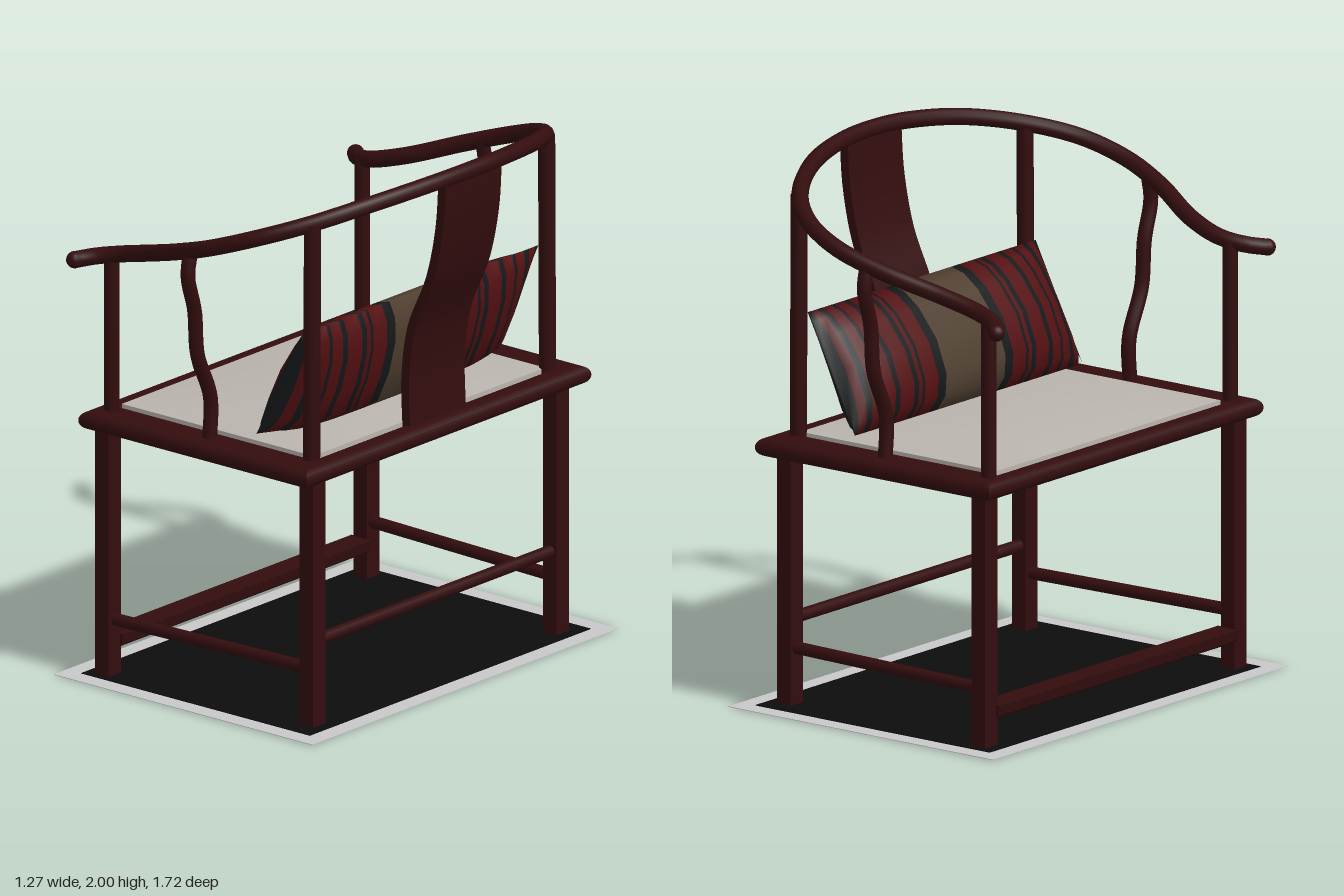
import * as THREE from 'three';

const paint = (name, color) => {
  const m = new THREE.MeshStandardMaterial({ color });
  m.name = name;
  return m;
};

export function createModel() {
  const wood = paint('dark red wood', 0x330d0e);
  const linen = paint('pale seat', 0xbab4ae);
  const red = paint('pillow red', 0x541012);
  const dark = paint('pillow stripe', 0x15181a);
  const tan = paint('pillow centre', 0x4f3f30);
  const edge = paint('mat edge', 0xc8c8c8);
  const black = paint('mat black', 0x0c0c0c);

  const model = new THREE.Group();
  const add = (name, geometry, material, x = 0, y = 0, z = 0) => {
    const mesh = new THREE.Mesh(geometry, material);
    mesh.name = name;
    mesh.position.set(x, y, z);
    model.add(mesh);
    return mesh;
  };
  const box = (name, mat, w, h, d, x, y, z) =>
    add(name, new THREE.BoxGeometry(w, h, d), mat, x, y, z);
  const v = (p) => new THREE.Vector3(...p);
  // Round bar between two points
  const bar = (name, a, b, r) => {
    const A = v(a), B = v(b), dir = B.clone().sub(A);
    const mesh = add(name, new THREE.CylinderGeometry(r, r, dir.length(), 16), wood);
    mesh.position.copy(A).add(B).multiplyScalar(0.5);
    mesh.quaternion.setFromUnitVectors(new THREE.Vector3(0, 1, 0), dir.normalize());
  };
  const tube = (name, points, r, segments) =>
    add(name, new THREE.TubeGeometry(new THREE.CatmullRomCurve3(points.map(v)), segments, r, 12), wood);

  // Floor mat
  box('matEdge', edge, 1.215, 0.002, 1.7, -0.032, 0.003, 0);
  box('matCentre', black, 1.075, 0.006, 1.56, -0.032, 0.003, 0);

  // Seat frame with rounded edges
  const r = 0.035;
  const rect = (Type, x0, x1, z) => {
    const s = new Type();
    s.moveTo(x0, -z).lineTo(x1, -z).lineTo(x1, z).lineTo(x0, z).closePath();
    return s;
  };
  const frame = rect(THREE.Shape, -0.575 + r, 0.5 - r, 0.79 - r);
  frame.holes.push(rect(THREE.Path, -0.485 - r, 0.4 + r, 0.635 + r));
  const frameGeo = new THREE.ExtrudeGeometry(frame, {
    depth: 0.002, bevelThickness: r - 0.001, bevelSize: r, bevelSegments: 6,
  });
  frameGeo.rotateX(-Math.PI / 2);
  add('seatFrame', frameGeo, wood, 0, 0.964, 0);

  // Softly domed seat panel
  const seat = new THREE.BoxGeometry(0.9, 0.05, 1.29, 12, 1, 12);
  const sp = seat.attributes.position;
  for (let i = 0; i < sp.count; i++) {
    if (sp.getY(i) < 0) continue;
    const a = sp.getX(i) / 0.45, b = sp.getZ(i) / 0.645;
    sp.setY(i, 0.025 + 0.025 * (1 - a * a) * (1 - b ** 4));
  }
  seat.computeVertexNormals();
  add('seatPanel', seat, linen, -0.043, 0.983, 0);

  for (const s of [1, -1]) {
    // Legs and the posts above them
    box('frontLeg', wood, 0.063, 0.95, 0.07, -0.496, 0.475, s * 0.718);
    box('backLeg', wood, 0.063, 0.95, 0.07, 0.43, 0.475, s * 0.676);
    bar('frontPost', [-0.497, 0.98, s * 0.695], [-0.497, 1.59, s * 0.695], 0.028);
    bar('backPost', [0.408, 0.98, s * 0.655], [0.408, 1.89, s * 0.65], 0.031);
    bar('sideStretcher', [-0.49, 0.215, s * 0.715], [0.43, 0.215, s * 0.676], 0.023);
    // Curved arm support
    tube('armSupport', [
      [-0.03, 0.98, s * 0.705], [-0.03, 1.15, s * 0.7], [-0.03, 1.33, s * 0.772],
      [-0.03, 1.5, s * 0.788], [-0.03, 1.64, s * 0.825], [-0.03, 1.73, s * 0.81],
    ], 0.027, 28);
    const knob = add('armEnd', new THREE.SphereGeometry(0.033, 16, 12), wood, -0.6, 1.566, s * 0.78);
    knob.scale.set(0.95, 0.95, 0.95);
  }
  bar('backStretcher', [0.43, 0.318, -0.66], [0.43, 0.318, 0.66], 0.023);

  // Front footrest with a rounded underside
  const foot = new THREE.Shape();
  foot.moveTo(-0.048, 0.155).lineTo(-0.04, 0.115).quadraticCurveTo(-0.03, 0.1, 0, 0.1)
    .quadraticCurveTo(0.03, 0.1, 0.04, 0.115).lineTo(0.048, 0.155).closePath();
  add('footrest', new THREE.ExtrudeGeometry(foot, { depth: 1.38, bevelEnabled: false }),
    wood, -0.495, 0, -0.69);

  // Sweeping arm and back rail, mirrored across z
  const half = [
    [-0.6, 1.566, 0.78], [-0.545, 1.578, 0.725], [-0.45, 1.598, 0.692], [-0.3, 1.64, 0.715],
    [-0.1, 1.71, 0.795], [0.08, 1.772, 0.828], [0.25, 1.833, 0.785], [0.4, 1.887, 0.655],
    [0.52, 1.937, 0.44], [0.585, 1.963, 0.2],
  ];
  const mirrored = half.map(([x, y, z]) => [x, y, -z]).reverse();
  tube('armRail', [...half, [0.6, 1.969, 0], ...mirrored], 0.031, 120);

  // S-curved back splat
  const bend = new THREE.CatmullRomCurve3(
    [0.43, 0.425, 0.455, 0.54, 0.585, 0.6].map((x, i) => new THREE.Vector3(x, i, 0)));
  bend.curveType = 'catmullrom';
  const splat = new THREE.BoxGeometry(0.036, 1, 0.31, 1, 28, 1);
  const bp = splat.attributes.position;
  for (let i = 0; i < bp.count; i++) {
    const t = bp.getY(i) + 0.5;
    bp.setXYZ(i, bp.getX(i) + bend.getPoint(t).x, 0.985 + t * 0.995, bp.getZ(i));
  }
  splat.computeVertexNormals();
  add('backSplat', splat, wood);

  add('pillow', pillowGeometry(), [red, dark, tan]);
  return model;
}

// Tilted pillow lofted along z; each stripe is a material group
function pillowGeometry() {
  const section = [
    [-0.235, 0.01], [-0.2, 0.085], [-0.13, 0.127], [0, 0.12], [0.12, 0.092], [0.2, 0.05],
    [0.24, 0], [0.2, -0.045], [0.13, -0.08], [0, -0.107], [-0.13, -0.092], [-0.2, -0.05],
  ];
  // Dark stripes on each half, as distance from the centre
  const stripes = [[0.17, 0.215], [0.29, 0.305], [0.325, 0.35], [0.425, 0.45],
    [0.5, 0.515], [0.56, 0.585], [0.615, 0.63]];
  const L = 0.63;
  const bands = [];
  let last = 0.17;
  for (const [a, b] of stripes) {
    if (a > last) bands.push([last, a, 0]);
    bands.push([a, b, 1]);
    last = b;
  }
  const rows = [
    ...bands.map(([a, b, m]) => [-b, -a, m]).reverse(), [-0.17, 0, 2], [0, 0.17, 2], ...bands,
  ];
  const loops = [rows[0][0], ...rows.map((row) => row[1])];
  const n = section.length, pos = [], index = [];
  const geo = new THREE.BufferGeometry();
  for (const z of loops) {
    const f = Math.abs(z) / L;
    const thick = Math.max(0.06, Math.sqrt(1 - f ** 5));
    for (const [u, w] of section) {
      const k = Math.abs(u) / 0.235;
      const t = w * thick;
      pos.push(0.255 + 0.455 * u + 0.89 * t, 1.247 + 0.89 * u - 0.455 * t,
        z * (1 + 0.04 * k * k * f ** 4));
    }
  }
  rows.forEach(([, , m], i) => {
    geo.addGroup(index.length, n * 6, m);
    for (let j = 0; j < n; j++) {
      const a = i * n + j, b = i * n + (j + 1) % n;
      index.push(a, a + n, b, b, a + n, b + n);
    }
  });
  // End seams
  const end = (loops.length - 1) * n;
  geo.addGroup(index.length, (n - 2) * 6, 1);
  for (let j = 1; j < n - 1; j++) {
    index.push(0, j, j + 1, end, end + j + 1, end + j);
  }
  // Orient the faces outward
  const P = (i) => new THREE.Vector3().fromArray(pos, i * 3);
  const c = new THREE.Vector3(0.255, 1.247, 0);
  for (let i = 0; i < index.length; i += 3) {
    const [A, B, C] = [P(index[i]), P(index[i + 1]), P(index[i + 2])];
    const normal = B.clone().sub(A).cross(C.clone().sub(A));
    if (normal.dot(A.add(B).add(C).divideScalar(3).sub(c)) < 0) {
      [index[i + 1], index[i + 2]] = [index[i + 2], index[i + 1]];
    }
  }
  geo.setAttribute('position', new THREE.Float32BufferAttribute(pos, 3));
  geo.setIndex(index);
  geo.computeVertexNormals();
  return geo;
}
